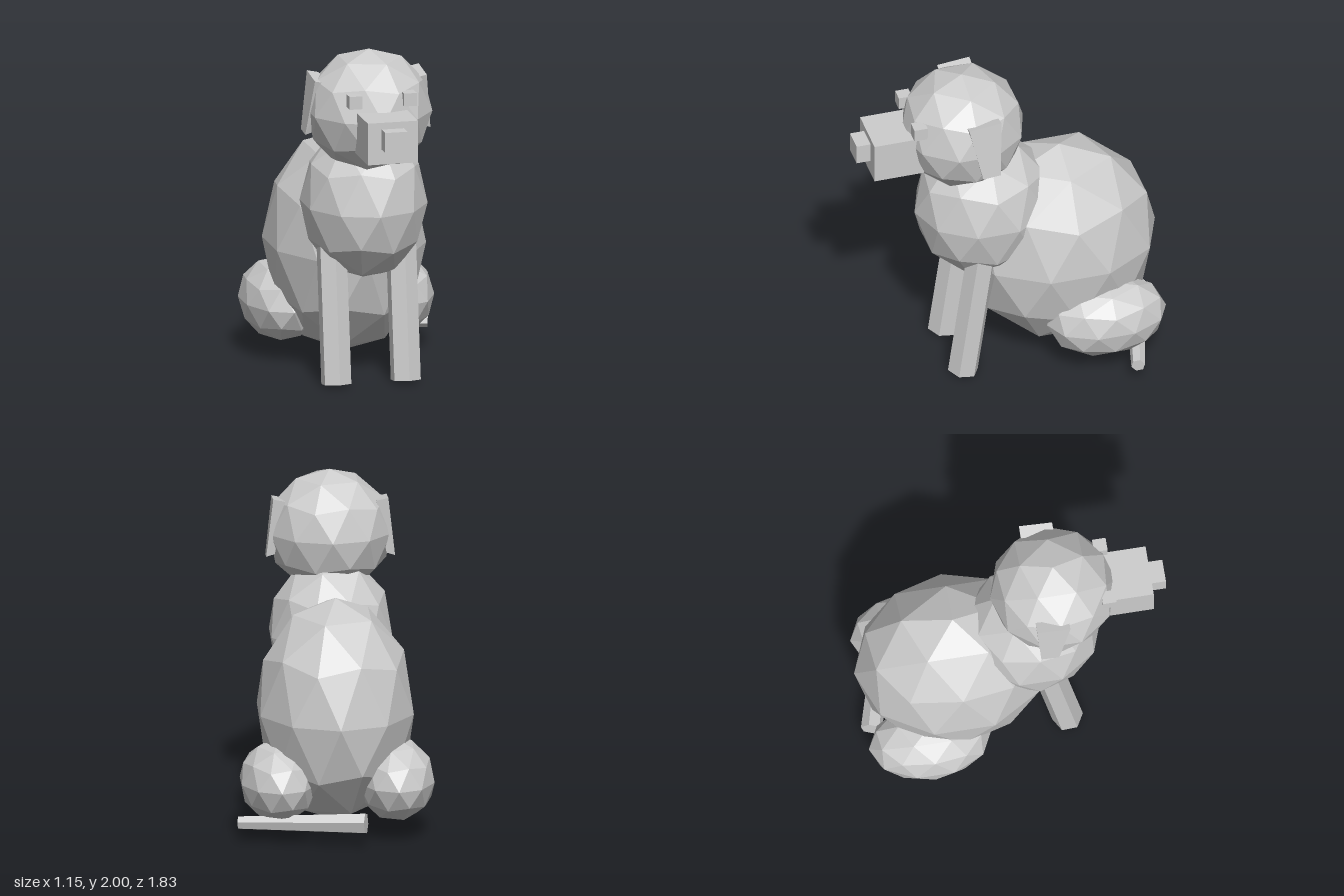
import * as THREE from 'three';

const grey = new THREE.MeshStandardMaterial({ color: 0xcccccc });
grey.name = 'plain grey';

// the whole model sits slightly to one side because of the tail
const MID = -0.02;

export function createModel() {
  const model = new THREE.Group();
  model.name = 'sittingDog';

  // every part is faceted
  function add(name, geometry) {
    const flat = geometry.index ? geometry.toNonIndexed() : geometry;
    flat.computeVertexNormals();
    const mesh = new THREE.Mesh(flat, grey);
    mesh.name = name;
    model.add(mesh);
    return mesh;
  }

  // low-poly ellipsoid with a corner at the pole
  function blob(name, [x, y, z], [rx, ry, rz]) {
    const g = new THREE.IcosahedronGeometry(1, 1);
    g.rotateZ(-Math.atan(2 / (1 + Math.sqrt(5))));
    g.scale(rx, ry, rz);
    add(name, g).position.set(x, y, z);
  }

  function box(name, [x, y, z], [w, h, d]) {
    add(name, new THREE.BoxGeometry(w, h, d)).position.set(x, y, z);
  }

  // six-sided rod between two points
  function rod(name, from, to, rFrom, rTo) {
    const a = new THREE.Vector3(...from), b = new THREE.Vector3(...to);
    const dir = b.clone().sub(a);
    const mesh = add(name, new THREE.CylinderGeometry(rTo, rFrom, dir.length(), 6));
    mesh.position.copy(a).add(b).multiplyScalar(0.5);
    mesh.quaternion.setFromUnitVectors(new THREE.Vector3(0, 1, 0), dir.normalize());
  }

  // hanging ear: a box narrowed towards its lower end and splayed outwards
  function ear(name, side) {
    const g = new THREE.BoxGeometry(1, 1, 1);
    const p = g.attributes.position;
    for (let i = 0; i < p.count; i++) {
      const top = p.getY(i) > 0, front = p.getZ(i) > 0, outer = p.getX(i) * side > 0;
      const x = top ? (outer ? 0.335 : 0.265) : (outer ? 0.375 : 0.325);
      const z = top ? (front ? 0.31 : 0.115) : (front ? 0.237 : 0.132);
      const y = top ? (front ? 1.835 : 1.855) : (front ? 1.5 : 1.51);
      p.setXYZ(i, MID + side * x, y + (outer ? 0 : 0.015) * (top ? -1 : 1), z);
    }
    add(name, g);
  }

  // trunk and head
  blob('body', [MID, 0.71, -0.33], [0.47, 0.66, 0.58]);
  blob('chest', [MID, 1.055, 0.135], [0.37, 0.46, 0.41]);
  blob('head', [MID, 1.635, 0.26], [0.37, 0.365, 0.37]);

  // face
  box('muzzle', [MID, 1.575, 0.68], [0.3, 0.25, 0.3]);
  box('nose', [MID, 1.6, 0.85], [0.135, 0.12, 0.13]);

  // paired parts
  for (const [label, side] of [['left', 1], ['right', -1]]) {
    box(label + 'Eye', [MID + side * 0.163, 1.768, 0.563], [0.077, 0.077, 0.08]);
    ear(label + 'Ear', side);
    const legX = MID + side * 0.208;
    rod(label + 'FrontLeg', [legX, 0.015, 0.313], [legX, 0.82, 0.2], 0.091, 0.091);
    blob(label + 'Haunch', [MID + side * 0.34, 0.33, -0.518], [0.232, 0.24, 0.36]);
  }

  // tail, thick at the root and swept to one side
  rod('tail', [-0.17, 0.14, -0.83], [0.56, 0.11, -0.64], 0.065, 0.041);

  return model;
}
